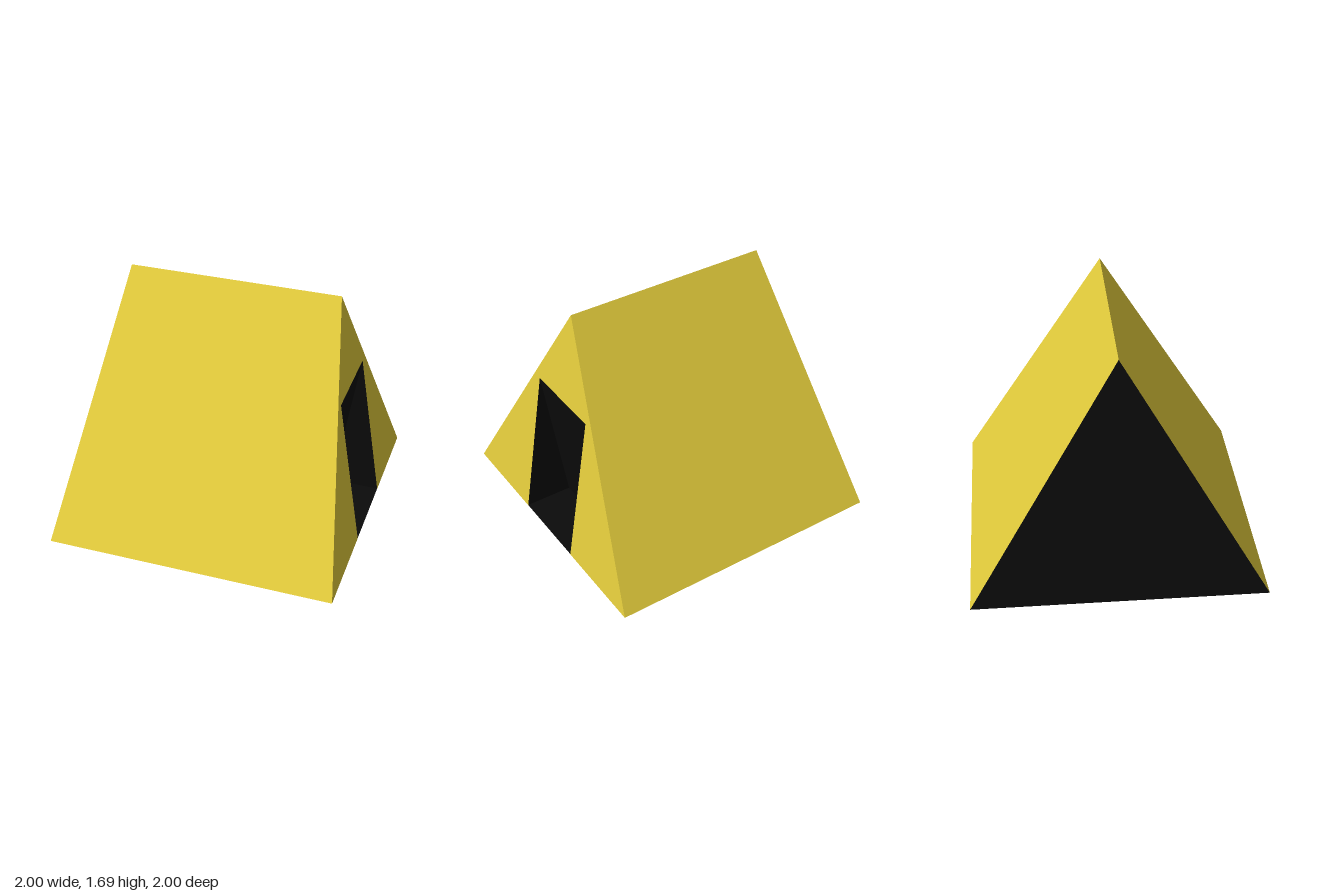
import * as THREE from 'three';

const H = 1.69;      // ridge height
const R = 0.73;      // half length of the ridge
const DOOR_W = 0.3;  // half width of the doorway
const DOOR_H = 1.06;
const endX = (y) => 1 - (1 - R) * y / H; // lean of the end walls

// Flat convex panel from corners listed counter-clockwise
function panel(name, material, corners) {
  const positions = [];
  for (let i = 1; i < corners.length - 1; i++) {
    positions.push(...corners[0], ...corners[i], ...corners[i + 1]);
  }
  const geometry = new THREE.BufferGeometry();
  geometry.setAttribute('position', new THREE.Float32BufferAttribute(positions, 3));
  geometry.computeVertexNormals();
  const mesh = new THREE.Mesh(geometry, material);
  mesh.name = name;
  return mesh;
}

export function createModel() {
  const canvas = new THREE.MeshStandardMaterial({ color: 0xe3cc3c });
  canvas.name = 'yellow canvas';
  const dark = new THREE.MeshStandardMaterial({ color: 0x0b0b0b });
  dark.name = 'black lining';

  const tent = new THREE.Group();
  tent.name = 'tent';

  // Two sloping roof sides
  const slope = [[-1, 0, 1], [1, 0, 1], [R, H, 0], [-R, H, 0]];
  const front = panel('frontRoof', canvas, slope);
  const back = panel('backRoof', canvas, slope);
  back.rotation.y = Math.PI;
  tent.add(front, back);

  // Closed end and groundsheet
  tent.add(panel('closedEnd', dark, [[-1, 0, -1], [-1, 0, 1], [-R, H, 0]]));
  tent.add(panel('groundsheet', dark, [[-1, 0, -1], [1, 0, -1], [1, 0, 1], [-1, 0, 1]]));

  // Entrance end: triangle with a doorway notch, leaned back to the ridge
  const outline = new THREE.Shape([
    [-1, 0], [-DOOR_W, 0], [-DOOR_W, DOOR_H], [DOOR_W, DOOR_H], [DOOR_W, 0], [1, 0], [0, H],
  ].map(([a, b]) => new THREE.Vector2(a, b)));
  const endGeometry = new THREE.ShapeGeometry(outline);
  const p = endGeometry.attributes.position;
  for (let i = 0; i < p.count; i++) {
    const a = p.getX(i), y = p.getY(i);
    p.setXYZ(i, endX(y), y, -a);
  }
  endGeometry.computeVertexNormals();
  const entrance = new THREE.Mesh(endGeometry, canvas);
  entrance.name = 'entranceEnd';
  tent.add(entrance);

  // Wedge-shaped dark recess behind the doorway
  const doorway = new THREE.Group();
  doorway.name = 'doorway';
  const topX = endX(DOOR_H);
  const innerX = 2 * topX - 1;
  const w = DOOR_W, f = 0.003;
  doorway.add(
    panel('doorwayBack', dark, [[innerX, 0, w], [innerX, 0, -w], [topX, DOOR_H, -w], [topX, DOOR_H, w]]),
    panel('doorwayFloor', dark, [[innerX, f, w], [1, f, w], [1, f, -w], [innerX, f, -w]]),
    panel('doorwayLeft', dark, [[1, 0, w], [innerX, 0, w], [topX, DOOR_H, w]]),
    panel('doorwayRight', dark, [[innerX, 0, -w], [1, 0, -w], [topX, DOOR_H, -w]]),
  );
  tent.add(doorway);

  return tent;
}
